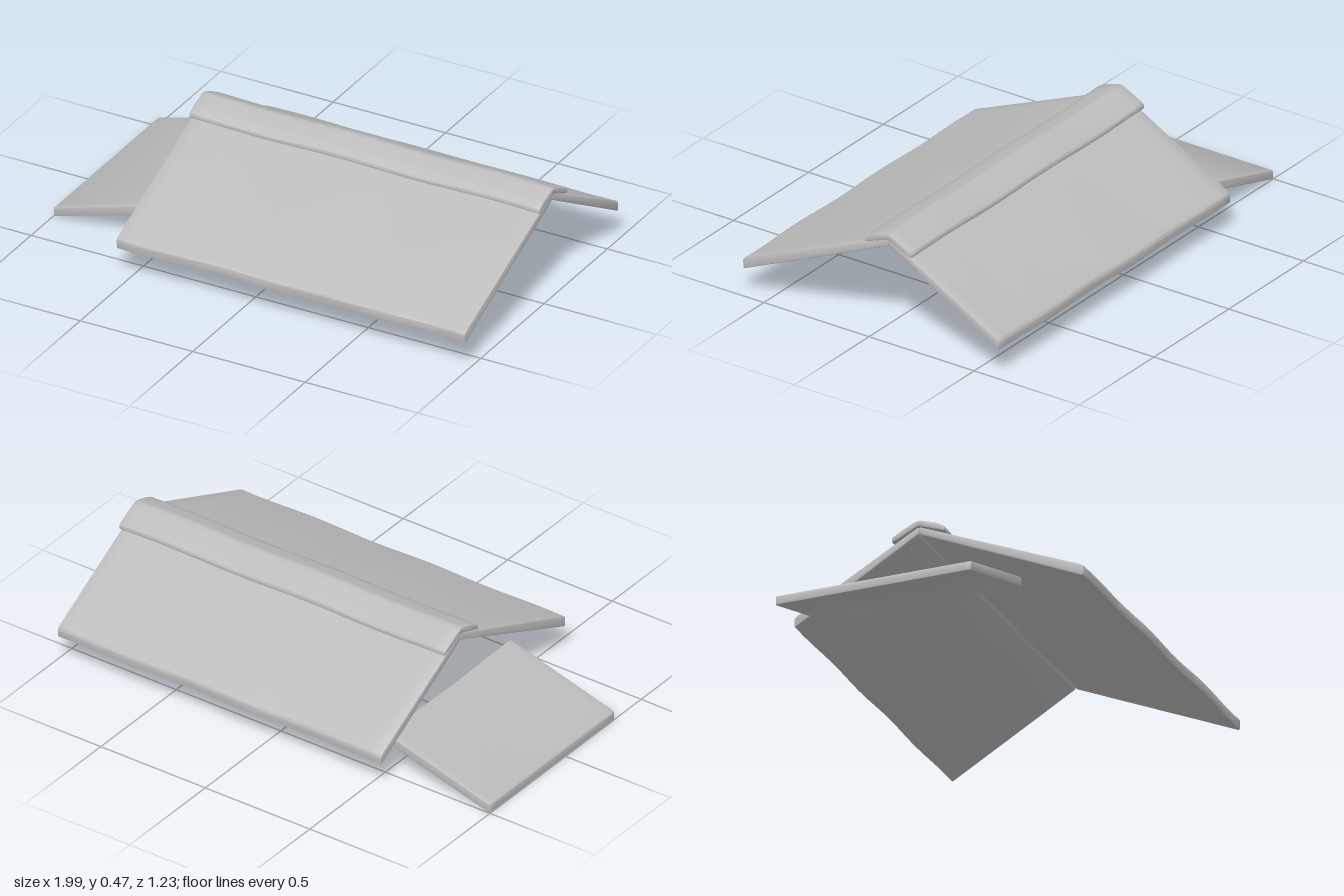
import * as THREE from 'three';
import { toCreasedNormals } from 'three/addons/utils/BufferGeometryUtils.js';

// Closed outline with slightly rounded corners
function roundedShape(points, radius) {
  const pts = points.map(([x, y]) => new THREE.Vector2(x, y));
  const shape = new THREE.Shape();
  pts.forEach((p, i) => {
    const prev = pts[(i + pts.length - 1) % pts.length];
    const next = pts[(i + 1) % pts.length];
    const toward = (q) => p.clone().add(
      q.clone().sub(p).setLength(Math.min(radius, p.distanceTo(q) * 0.4)));
    const a = toward(prev), b = toward(next);
    if (i === 0) shape.moveTo(a.x, a.y);
    else shape.lineTo(a.x, a.y);
    shape.quadraticCurveTo(p.x, p.y, b.x, b.y);
  });
  shape.closePath();
  return shape;
}

// Slab of the given outline with softened ends, centred along z
function slab(points, length) {
  const bevel = 0.005;
  const geometry = new THREE.ExtrudeGeometry(roundedShape(points, 0.01), {
    depth: length - 2 * bevel, steps: 32, curveSegments: 3,
    bevelEnabled: true, bevelThickness: bevel, bevelSize: bevel,
    bevelOffset: -bevel, bevelSegments: 2,
  });
  return geometry.translate(0, 0, bevel - length / 2);
}

// Gentle unevenness of the hand-made surfaces
function warp(geometry, rule) {
  const pos = geometry.attributes.position;
  const v = new THREE.Vector3();
  for (let i = 0; i < pos.count; i++) {
    v.fromBufferAttribute(pos, i);
    rule(v);
    pos.setXYZ(i, v.x, v.y, v.z);
  }
  return toCreasedNormals(geometry, 0.7);
}

export function createModel() {
  const group = new THREE.Group();
  const grey = new THREE.MeshStandardMaterial({ color: 0xbcbcbc });
  grey.name = 'plain grey';

  const add = (name, geometry) => {
    const mesh = new THREE.Mesh(geometry, grey);
    mesh.name = name;
    group.add(mesh);
  };

  // Roof parts: outline in (z, y), running along x
  const ridgeZ = -0.085;
  const roofPart = (name, outline, length, x, rule) => {
    const geometry = slab(outline, length).rotateY(-Math.PI / 2).translate(x, 0, 0);
    add(name, warp(geometry, rule));
  };
  const roofWave = (v) => {
    const reach = Math.abs(v.z - ridgeZ) / 0.6;
    v.z += Math.sign(v.z - ridgeZ) * 0.003 * reach * Math.cos(12 * (v.x - 0.1));
    v.y += 0.002 * Math.sin(9 * v.x + 3 * v.z) * (1 - 0.5 * reach);
  };
  roofPart('frontRoofSlope', [
    [ridgeZ, 0.417], [0.608, 0.115], [0.61, 0.16], [0.595, 0.168], [ridgeZ, 0.449],
  ], 1.55, 0.215, roofWave);
  roofPart('backRoofSlope', [
    [ridgeZ, 0.417], [ridgeZ, 0.449], [-0.6, 0.165], [-0.61, 0.155], [-0.61, 0.115],
  ], 1.55, 0.215, roofWave);

  // Cap folded over the ridge
  roofPart('ridgeCap', [
    [0.026, 0.408], [0.026, 0.43], [-0.01, 0.451], [-0.06, 0.467], [-0.085, 0.474],
    [-0.11, 0.465], [-0.155, 0.442], [-0.197, 0.419], [-0.197, 0.396],
    [-0.15, 0.418], [ridgeZ, 0.449],
  ], 1.56, 0.215, (v) => { v.y += 0.003 * Math.cos(9.2 * (v.x - 0.1)); });

  // Low lean-to panel at the right end: outline in (x, y), running along z
  const panel = slab([
    [-1, 0.001], [-0.5, 0.143], [-0.5, 0.183], [-1, 0.042],
  ], 0.825).translate(0, 0, -0.088);
  add('leanToPanel', warp(panel, (v) => {
    v.y += 0.003 * Math.cos(8.5 * (v.z - 0.3)) * (v.x + 1) / 0.5;
  }));

  return group;
}
